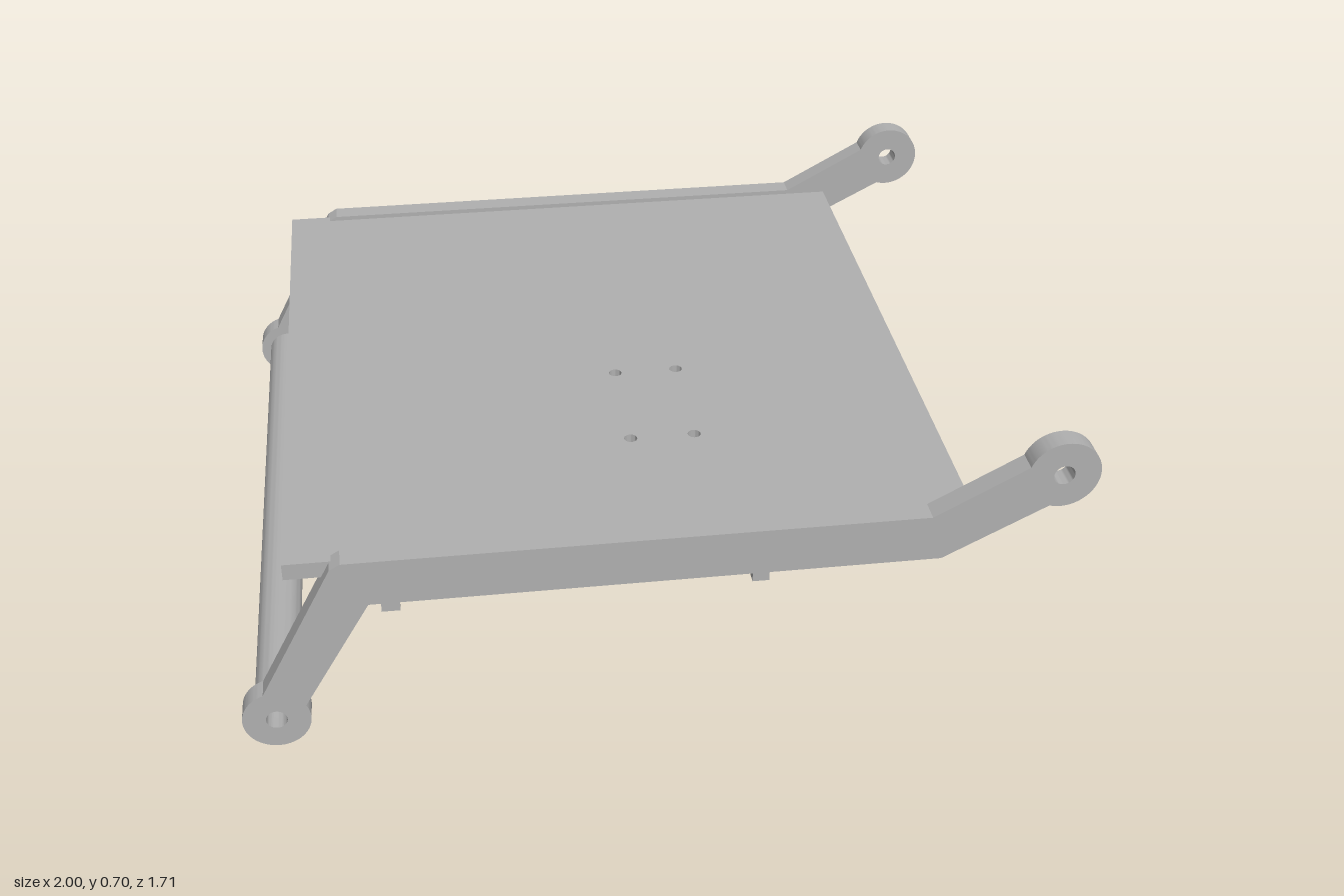
import * as THREE from 'three';
import { toCreasedNormals } from 'three/addons/utils/BufferGeometryUtils.js';

export function createModel() {
  const group = new THREE.Group();
  const grey = new THREE.MeshStandardMaterial({ color: 0xb0b0b0 });
  grey.name = 'plain grey';

  const add = (name, geometry) => {
    const mesh = new THREE.Mesh(geometry, grey);
    mesh.name = name;
    group.add(mesh);
    return mesh;
  };
  const box = (name, x0, x1, y0, y1, z0, z1) => {
    const mesh = add(name, new THREE.BoxGeometry(x1 - x0, y1 - y0, z1 - z0));
    mesh.position.set((x0 + x1) / 2, (y0 + y1) / 2, (z0 + z1) / 2);
  };
  const hole = (x, y, r) => new THREE.Path().absarc(x, y, r, 0, Math.PI * 2, true);
  const extrude = (shape, depth) => toCreasedNormals(
    new THREE.ExtrudeGeometry(shape, { depth, bevelEnabled: false, curveSegments: 32 }), 0.5);

  // Pivot centres at the low and high ends of the side arms
  const low = { x: -0.92, y: 0.08, r: 0.08 };
  const high = { x: 0.91, y: 0.612, r: 0.087 };
  const bore = 0.025;

  // Cranked side arms with a round eye at each end
  const arm = new THREE.Shape();
  arm.moveTo(-0.685, 0.4);
  arm.lineTo(0.64, 0.4);
  arm.absarc(high.x, high.y, high.r, -1.87, 2.81, false);
  arm.lineTo(0.61, 0.52);
  arm.lineTo(-0.74, 0.52);
  arm.lineTo(-0.765, 0.505);
  arm.absarc(low.x, low.y, low.r, 1.89, 0.47 + Math.PI * 2, false);
  arm.closePath();
  arm.holes.push(hole(low.x, low.y, bore), hole(high.x, high.y, bore));
  const armGeometry = extrude(arm, 0.053);
  add('leftArm', armGeometry).position.z = 0.802;
  add('rightArm', armGeometry).position.z = -0.855;

  // Hollow cross tube between the low eyes
  const ring = new THREE.Shape().absarc(low.x, low.y, 0.053, 0, Math.PI * 2, false);
  ring.holes.push(hole(low.x, low.y, bore));
  add('crossTube', extrude(ring, 1.604)).position.z = -0.802;

  // Deck plate with four bolt holes
  const deck = new THREE.Shape();
  deck.moveTo(-0.87, -0.825);
  deck.lineTo(0.72, -0.825);
  deck.lineTo(0.72, 0.825);
  deck.lineTo(-0.87, 0.825);
  deck.closePath();
  for (const x of [-0.032, 0.125]) {
    for (const z of [0.13, 0.43]) deck.holes.push(hole(x, -z, 0.016));
  }
  const deckGeometry = extrude(deck, 0.042);
  deckGeometry.rotateX(-Math.PI / 2);
  add('deckPlate', deckGeometry).position.y = 0.466;

  // Deep and shallow rails running lengthwise under the deck
  const top = 0.466;
  box('deepRailLeft', -0.735, 0.64, 0.305, top, 0.578, 0.61);
  box('deepRailRight', -0.735, 0.64, 0.305, top, -0.5, -0.468);
  box('shallowRailLeft', -0.69, 0.6, 0.385, top, 0.61, 0.638);
  box('shallowRailRight', -0.69, 0.6, 0.385, top, -0.635, -0.603);

  // Cross beams
  box('crossBeamFront', 0.205, 0.245, 0.34, top, -0.81, 0.81);
  box('crossBeamRear', -0.658, -0.615, 0.34, top, -0.81, 0.81);
  box('shortCrossBeam', -0.13, -0.09, 0.305, top, -0.81, -0.07);

  // Angled stiffener beside the bolt holes
  box('stiffener', -0.13, -0.09, 0.385, top, -0.07, 0.5);
  box('stiffenerFoot', -0.09, 0.005, 0.385, top, 0.47, 0.5);

  return group;
}
